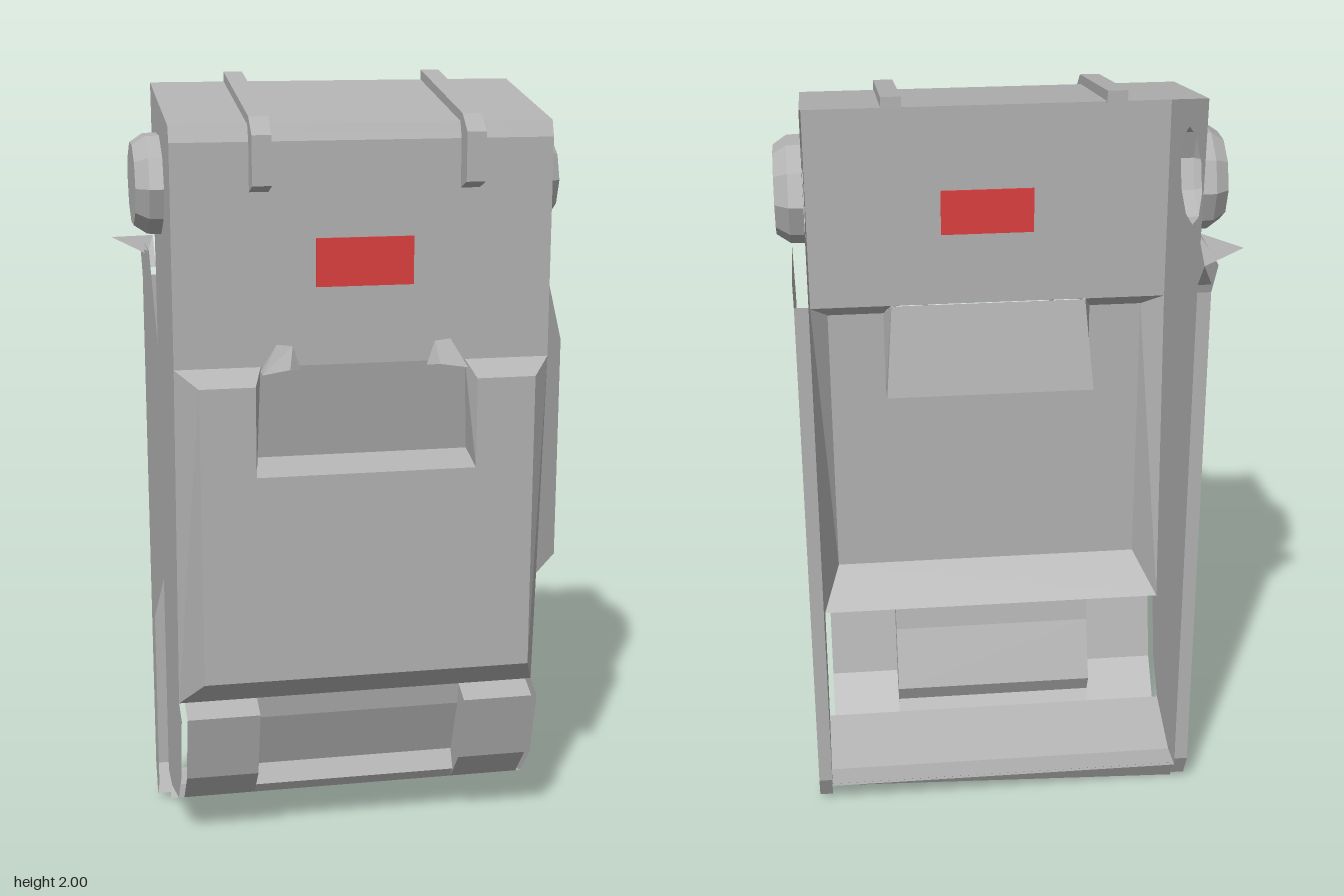
import * as THREE from 'three';

const grey = new THREE.MeshStandardMaterial({ color: 0xb2b2b2, flatShading: true, side: THREE.DoubleSide });
grey.name = 'shell grey';
const red = new THREE.MeshStandardMaterial({ color: 0xdc3e3e, flatShading: true, side: THREE.DoubleSide });
red.name = 'label red';

const L = -0.455, R = 0.495;          // shell sides
const NL = -0.26, NR = 0.30;          // notch sides

// Sheet made of flat convex polygons, each a list of [x, y, z] corners
function sheet(name, polys) {
  const pos = [];
  for (const p of polys)
    for (let i = 1; i < p.length - 1; i++) pos.push(...p[0], ...p[i], ...p[i + 1]);
  const g = new THREE.BufferGeometry();
  g.setAttribute('position', new THREE.Float32BufferAttribute(pos, 3));
  g.computeVertexNormals();
  const m = new THREE.Mesh(g, grey);
  m.name = name;
  return m;
}

// Quads along a [z, y] profile, spanning x0..x1
function strip(profile, x0, x1) {
  return profile.slice(1).map(([z, y], i) => {
    const [pz, py] = profile[i];
    return [[x0, py, pz], [x0, y, z], [x1, y, z], [x1, py, pz]];
  });
}

// Shape drawn in [z, y], turned to face sideways
function sideShape(points) {
  return new THREE.Shape(points.map(([z, y]) => new THREE.Vector2(z, y)));
}
function sideMesh(name, geometry, x) {
  geometry.rotateY(-Math.PI / 2);
  geometry.translate(x, 0, 0);
  const m = new THREE.Mesh(geometry, grey);
  m.name = name;
  return m;
}

export function createModel() {
  const group = new THREE.Group();

  // Top and upper front, open at the back
  group.add(sheet('upperShell', strip([[-0.23, 1.975], [0.2, 1.9], [0.215, 1.86], [0.215, 1.31]], L, R)));

  // Raised front panel with a notch in its top edge
  const F = 0.265, l = -0.4, r = 0.45, topY = 1.27, lowY = 0.5;
  const panel = [
    [[l, lowY, F], [NL, lowY, F], [NL, topY, F], [l, topY, F]],
    [[NR, lowY, F], [r, lowY, F], [r, topY, F], [NR, topY, F]],
    [[NL, lowY, F], [NR, lowY, F], [NR, 1.04, F], [NL, 1.04, F]],
    [[L, 0.41, 0.15], [R, 0.41, 0.15], [r, lowY, F], [l, lowY, F]],
    [[L, 0.41, 0.15], [l, lowY, F], [l, topY, F], [L, 1.31, 0.215]],
    [[r, lowY, F], [R, 0.41, 0.15], [R, 1.31, 0.215], [r, topY, F]],
    [[l, topY, F], [NL, topY, F], [NL + 0.02, 1.31, 0.215], [L, 1.31, 0.215]],
    [[NR, topY, F], [r, topY, F], [R, 1.31, 0.215], [NR - 0.02, 1.31, 0.215]],
    // notch floor, ledge and cheeks
    [[NL, 1.065, 0.16], [NR, 1.065, 0.16], [NR - 0.02, 1.31, 0.21], [NL + 0.02, 1.31, 0.21]],
    [[NL, 1.04, F], [NR, 1.04, F], [NR, 1.065, 0.16], [NL, 1.065, 0.16]],
    [[NL, 1.04, F], [NL, 1.065, 0.16], [NL + 0.02, 1.31, 0.21], [NL, topY, F]],
    [[NR, 1.04, F], [NR, topY, F], [NR - 0.02, 1.31, 0.21], [NR, 1.065, 0.16]],
  ];
  group.add(sheet('frontPanel', panel));

  // Small tabs above the notch corners
  for (const [x, s] of [[NL + 0.02, 1], [NR - 0.02, -1]]) {
    const a = [x, 1.295, 0.245], b = [x + 0.04 * s, 1.365, 0.217], c = [x + 0.08 * s, 1.36, 0.217],
      d = [x + 0.1 * s, 1.3, 0.217], e = [x + 0.07 * s, 1.305, 0.24];
    group.add(sheet('notchTab', [[a, e, c, b], [e, d, c], [a, b, [x, 1.3, 0.215]]]));
  }

  // Lower pocket: two corner pads with a recess between them
  const pad = [[0.15, 0.41], [0.21, 0.385], [0.16, 0.2], [0.08, 0.11]];
  const recess = [[0.15, 0.41], [0.14, 0.35], [0.075, 0.19], [0.1, 0.14], [0.08, 0.11]];
  const pocket = [...strip(pad, L + 0.015, -0.25), ...strip(pad, 0.295, R - 0.015), ...strip(recess, -0.25, 0.295)];
  for (const x of [-0.25, 0.295]) {
    const P = pad.map(([z, y]) => [x, y, z]), Q = recess.map(([z, y]) => [x, y, z]);
    pocket.push([P[0], P[1], Q[1]], [P[1], P[2], Q[2], Q[1]], [P[2], P[3], Q[3], Q[2]]);
  }
  group.add(sheet('lowerPocket', pocket));

  // Floor and its drooping lip
  group.add(sheet('floor', strip([[0.08, 0.11], [-0.11, 0.06], [-0.2, 0.07]], L, R)));
  group.add(sheet('floorLip', [[[L, 0.07, -0.19], [L, 0, -0.15], [R, 0.035, -0.15], [R, 0.07, -0.19]]]));

  // Side walls, each with a round opening behind its knob
  const wall = [[-0.23, 1.975], [-0.21, 1.6], [-0.2, 1.48], [-0.2, 0.07], [-0.11, 0.06], [0.08, 0.11],
    [0.16, 0.2], [0.21, 0.385], [0.15, 0.41], [0.215, 1.31], [0.215, 1.86], [0.2, 1.9]];
  const knobZ = -0.065, knobY = 1.735;
  for (const x of [L, R]) {
    const shape = sideShape(wall);
    const hole = [];
    for (let i = 0; i < 10; i++) {
      const a = (i / 10) * Math.PI * 2;
      hole.push(new THREE.Vector2(knobZ + 0.135 * Math.cos(a), knobY + 0.118 * Math.sin(a)));
    }
    shape.holes.push(new THREE.Path(hole));
    group.add(sideMesh('sideWall', new THREE.ShapeGeometry(shape), x));
  }

  // Outer side plates, joined to the walls by a strip along the back
  const plate = [[0.21, 1.35], [0.01, 1.575], [-0.265, 1.575], [-0.2, 1.48], [-0.2, 0.09], [-0.16, 0.015],
    [-0.11, 0.07], [-0.11, 0.56], [0.21, 0.78]];
  for (const [x, inner] of [[0.53, R], [-0.49, L]]) {
    group.add(sideMesh('sidePlate', new THREE.ShapeGeometry(sideShape(plate)), x));
    group.add(sheet('sidePlateRim', strip([[-0.2, 1.48], [-0.2, 0.09], [-0.16, 0.015]], inner, x)));
  }

  // Bent corner on one plate
  const tip = [-0.57, 1.585, -0.18], back = [L, 1.575, -0.27];
  group.add(sheet('bentCorner', [
    [tip, back, [-0.49, 1.57, -0.02]],
    [tip, [-0.49, 1.55, -0.12], back],
    [back, [L, 1.5, -0.2], [-0.49, 1.5, -0.2]],
  ]));

  // Side knobs
  for (const [x, s] of [[R, 1], [L, -1]]) {
    const profile = [[0.147, 0], [0.145, 0.035], [0.12, 0.068], [0, 0.068]].map(([a, b]) => new THREE.Vector2(a, b));
    const g = new THREE.LatheGeometry(profile, 10);
    g.rotateZ(-s * Math.PI / 2);
    g.scale(1, 0.88, 1);
    const knob = new THREE.Mesh(g, grey);
    knob.name = 'sideKnob';
    knob.position.set(x, knobY, knobZ);
    group.add(knob);
  }

  // Straps wrapping over the top
  const strap = [[0.215, 1.74], [0.27, 1.76], [0.27, 1.88], [0.22, 1.92], [-0.23, 2], [-0.23, 1.97], [0.2, 1.895], [0.215, 1.86]];
  for (const x of [-0.24, 0.285]) {
    const g = new THREE.ExtrudeGeometry(sideShape(strap), { depth: 0.048, bevelEnabled: false });
    g.translate(0, 0, -0.024);
    group.add(sideMesh('strap', g, x));
  }

  // Red label, seen from both sides of the shell
  const label = new THREE.Mesh(new THREE.BoxGeometry(0.245, 0.12, 0.008), red);
  label.name = 'label';
  label.position.set(0.022, 1.565, 0.215);
  group.add(label);

  return group;
}
